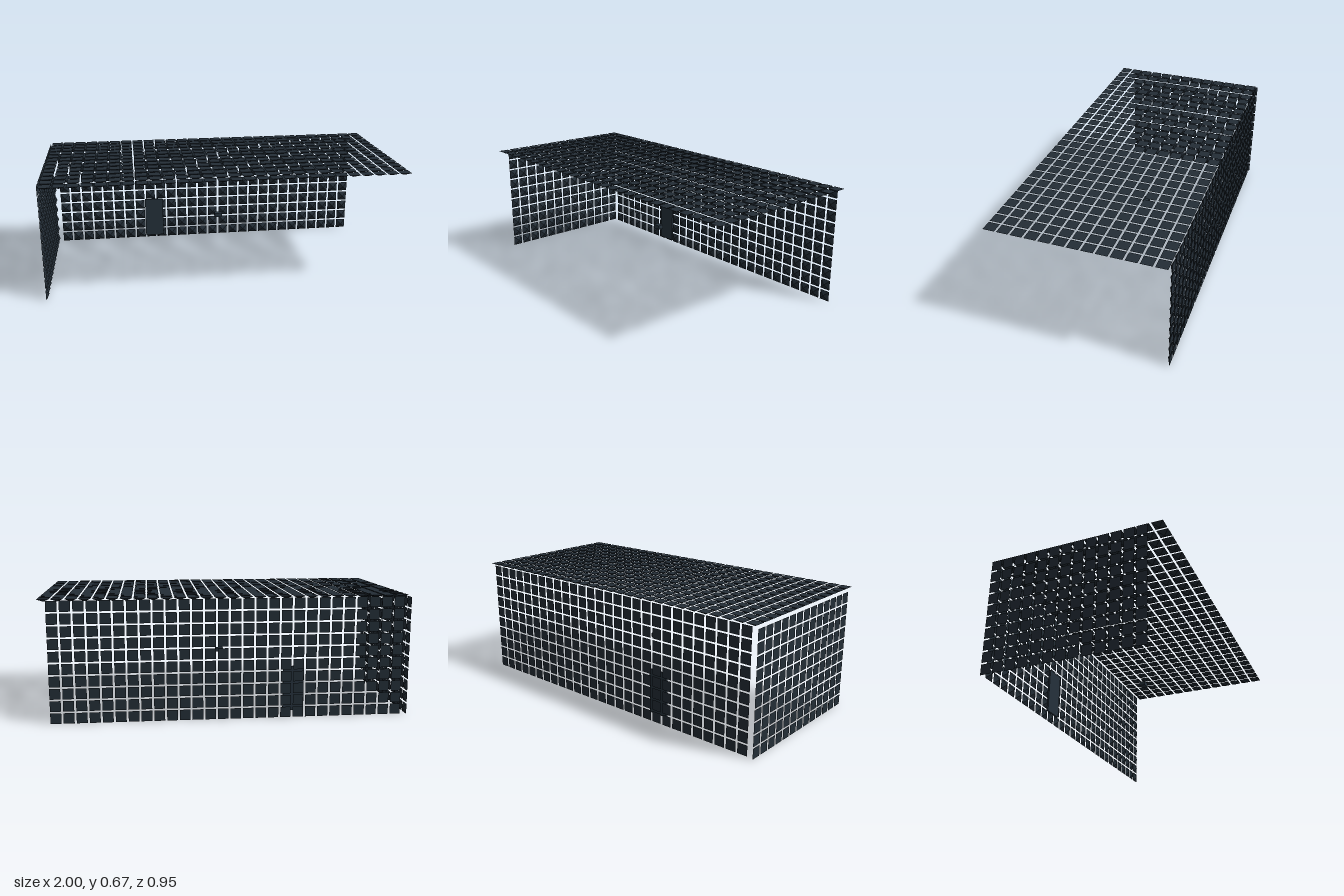
import * as THREE from 'three';
import { mergeGeometries } from 'three/addons/utils/BufferGeometryUtils.js';

// One square foam pyramid with its base at y = 0 and apex up
function pyramid(size, height) {
  const g = new THREE.ConeGeometry(size / Math.SQRT2, height, 4, 1).toNonIndexed();
  g.rotateY(Math.PI / 4);
  g.translate(0, height / 2, 0);
  g.computeVertexNormals();
  return g;
}

// Grid of pyramids spread evenly between the first and last centres
function panel(name, material, size, height, orient, nu, nv, place) {
  const unit = pyramid(size, height);
  orient(unit);
  const tiles = [];
  for (let i = 0; i < nu; i++) {
    for (let j = 0; j < nv; j++) {
      const [x, y, z] = place(i / (nu - 1), j / (nv - 1));
      tiles.push(unit.clone().translate(x, y, z));
    }
  }
  const mesh = new THREE.Mesh(mergeGeometries(tiles), material);
  mesh.name = name;
  return mesh;
}

export function createModel() {
  const group = new THREE.Group();
  group.name = 'absorberRoom';
  const foam = new THREE.MeshStandardMaterial({ color: 0x232d36 });
  foam.name = 'dark foam';
  const panelPaint = new THREE.MeshStandardMaterial({ color: 0x25313b });
  panelPaint.name = 'dark slate';
  const lerp = THREE.MathUtils.lerp;
  const depth = 0.016;

  // Side wall, apexes pointing into the room
  group.add(panel('sideWall', foam, 0.058, depth, (g) => g.rotateZ(-Math.PI / 2), 13, 10,
    (u, v) => [-1, lerp(0.029, 0.629, v), lerp(0.372, -0.446, u)]));

  // Back wall
  group.add(panel('backWall', foam, 0.058, depth, (g) => g.rotateX(Math.PI / 2), 28, 10,
    (u, v) => [lerp(-0.935, 0.926, u), lerp(0.031, 0.634, v), -0.469]));

  // Ceiling, apexes pointing down
  group.add(panel('ceiling', foam, 0.062, depth, (g) => g.rotateX(Math.PI), 28, 13,
    (u, v) => [lerp(-0.954, 0.969, u), 0.67, lerp(0.444, -0.432, v)]));

  // Door standing just inside the back wall
  const door = new THREE.Mesh(new THREE.BoxGeometry(0.116, 0.25, 0.01), panelPaint);
  door.name = 'door';
  door.position.set(-0.363, 0.155, -0.43);
  group.add(door);

  // Small device hanging in the middle of the room
  const device = new THREE.Mesh(new THREE.BoxGeometry(0.045, 0.023, 0.033), panelPaint);
  device.name = 'centreDevice';
  device.position.set(0.008, 0.301, -0.028);
  group.add(device);

  return group;
}
